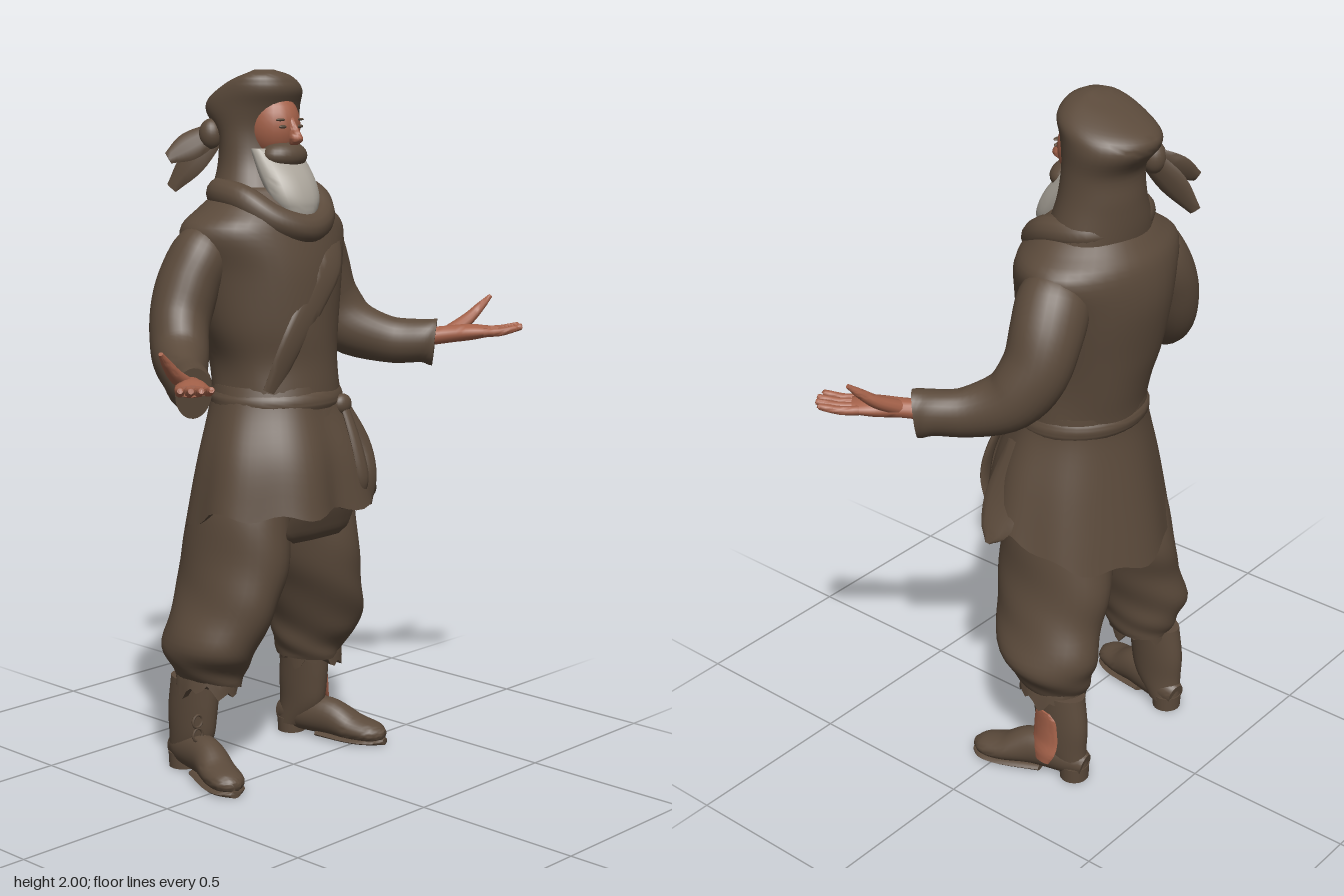
import * as THREE from 'three';
import { toCreasedNormals } from 'three/addons/utils/BufferGeometryUtils.js';

const V = (x, y, z) => new THREE.Vector3(x, y, z);
const { sin, cos, exp, PI } = Math;

// Skin a smooth surface over rows of [x, y, z, width radius, depth radius].
// Without ref the rings stay level (rows go upward); with ref they follow the path.
function loft(rows, { ref, fold, shift, seg = 28, sub = 5 } = {}) {
  const path = new THREE.CatmullRomCurve3(rows.map(r => V(r[0], r[1], r[2])), false, 'catmullrom');
  const size = new THREE.CatmullRomCurve3(rows.map(r => V(r[3], r[4], 0)), false, 'catmullrom');
  const n = (rows.length - 1) * sub, pos = [], idx = [];
  for (let i = 0; i <= n; i++) {
    const t = i / n, c = path.getPoint(t), r = size.getPoint(t);
    const dir = ref ? path.getTangent(t) : V(0, 1, 0);
    const u = ref ? ref.clone().addScaledVector(dir, -ref.dot(dir)).normalize() : V(1, 0, 0);
    const w = dir.clone().cross(u);
    for (let j = 0; j < seg; j++) {
      const a = j / seg * 2 * PI, k = fold ? fold(a, t) : 1;
      const p = c.clone().addScaledVector(u, cos(a) * r.x * k).addScaledVector(w, sin(a) * r.y * k);
      if (shift) shift(p, a, t);
      pos.push(p.x, p.y, p.z);
      const q = i * seg + j, s = i * seg + (j + 1) % seg;
      if (i < n) idx.push(q, s, q + seg, s, s + seg, q + seg);
    }
  }
  // Close both ends
  const end = (n + 1) * seg, c0 = path.getPoint(0), c1 = path.getPoint(1);
  pos.push(c0.x, c0.y, c0.z, c1.x, c1.y, c1.z);
  for (let j = 0; j < seg; j++) {
    const k = (j + 1) % seg;
    idx.push(end, k, j, end + 1, n * seg + j, n * seg + k);
  }
  const g = new THREE.BufferGeometry();
  g.setAttribute('position', new THREE.Float32BufferAttribute(pos, 3));
  g.setIndex(idx);
  return toCreasedNormals(g, 1);
}

const ball = (x, y, z, a, b, c) => new THREE.SphereGeometry(1, 24, 16).scale(a, b, c).translate(x, y, z);

export function createModel() {
  const model = new THREE.Group();
  const material = (name, color) => {
    const m = new THREE.MeshStandardMaterial({ color, side: THREE.DoubleSide });
    m.name = name;
    return m;
  };
  const cloth = material('brown cloth', 0x5b4a3b);
  const skin = material('skin', 0xa5624a);
  const grey = material('grey beard', 0xaca69c);
  const add = (name, geo, mat = cloth) => {
    const m = new THREE.Mesh(geo, mat);
    m.name = name;
    model.add(m);
  };

  // Tunic body and flared skirt with a longer back hem
  add('tunic', loft([
    [.005, 1.04, -.075, .195, .172], [.01, 1.12, -.08, .188, .174], [.01, 1.2, -.09, .188, .18],
    [0, 1.3, -.1, .208, .192], [0, 1.45, -.115, .235, .202], [0, 1.56, -.122, .268, .185],
    [0, 1.62, -.115, .205, .158], [0, 1.68, -.11, .12, .11]],
    { seg: 40, fold: (a, t) => 1 + .012 * sin(5 * a + 9 * t) }));
  add('skirt', loft([
    [.01, .78, -.065, .285, .25], [.005, .93, -.062, .25, .217],
    [.005, 1.06, -.073, .204, .18], [.01, 1.13, -.081, .188, .172]], {
    seg: 64,
    fold: (a, t) => 1 + (1 - t) * (.022 * cos(7 * a + 1.2) - .13 * exp(-(((a - 1.52 * PI) / .25) ** 2))),
    shift: (p, a, t) => {
      const back = Math.min(1, 1.5 * Math.max(0, sin(a)));
      p.y -= (1 - t) ** 2 * (.085 * back + .035 * back * sin(a) ** 6 + .01 * sin(9 * a));
    },
  }));
  add('waistTie', loft([
    [.008, 1.065, -.074, .195, .174], [.008, 1.08, -.076, .2, .181],
    [.008, 1.1, -.079, .197, .18], [.01, 1.115, -.08, .188, .172]], { seg: 40, sub: 3 }));
  add('frontFlap', loft([
    [.02, .69, .075, .1, .01], [0, .73, .098, .125, .012], [.01, .85, .125, .12, .014],
    [.02, 1.06, .086, .08, .012]], { fold: (a, t) => 1 + .05 * sin(6 * a + 4 * t) }));
  add('tieKnot', ball(.11, 1.065, .085, .032, .03, .022));
  for (const [x, z, y] of [[.12, .14, .8], [.165, .13, .77]])
    add('tieTail', loft([[.11, 1.08, .085, .014, .008], [x, .96, z - .01, .02, .008],
      [x + .01, .86, z + .01, .022, .008], [x + .015, y, z, .008, .004]], { ref: V(1, 0, 0), seg: 10 }));
  add('hemCorner', loft([[.2, 1.02, -.01, .04, .01], [.258, .87, -.005, .07, .012],
    [.3, .785, 0, .05, .012], [.325, .75, .005, .008, .005]], { ref: V(0, 0, 1), seg: 14 }));
  add('lapel', loft([
    [.16, 1.6, -.012, .03, .009], [.08, 1.48, .068, .045, .01], [0, 1.38, .084, .045, .01],
    [-.08, 1.26, .074, .038, .01], [-.13, 1.12, .036, .025, .008]], { ref: V(.8, -.5, .1), seg: 16 }));

  // Hood sloping to the back, neck cowl and loose knot ends
  add('hood', loft([
    [.005, 1.58, -.115, .175, .14], [.01, 1.66, -.135, .155, .125], [.018, 1.74, -.15, .132, .108],
    [.018, 1.82, -.155, .126, .102], [.014, 1.895, -.17, .132, .132], [.008, 1.945, -.155, .122, .138],
    [-.01, 1.982, -.125, .085, .095], [-.022, 2, -.1, .03, .035]], {
    seg: 40, fold: (a, t) => 1 + .015 * sin(3 * a + 12 * t),
    shift: (p, a, t) => { p.y += .26 * Math.max(0, t - .4) / .6 * Math.min(0, p.z + .1); },
  }));
  const ring = [[0, 1.567, .047], [.09, 1.592, .015], [.135, 1.645, -.06], [.115, 1.66, -.17], [0, 1.66, -.215],
    [-.115, 1.66, -.17], [-.135, 1.645, -.06], [-.09, 1.592, .015]].map(p => V(...p));
  add('cowl', new THREE.TubeGeometry(new THREE.CatmullRomCurve3(ring, true), 64, .043, 14, true));
  add('hoodKnot', ball(-.1, 1.82, -.225, .035, .045, .035));
  for (const [x, y, z] of [[-.195, 1.755, -.3], [-.17, 1.67, -.315]])
    add('knotEnd', loft([[-.085, 1.83, -.21, .03, .014], [(x - .1) / 2, (y + 1.82) / 2, -.265, .042, .012],
      [x, y, z, .018, .005]], { ref: V(0, 1, -.6), seg: 10 }));

  // Face and beard
  add('face', ball(.005, 1.845, -.09, .076, .1, .085), skin);
  add('nose', loft([[.005, 1.795, -.005, .012, .012], [.005, 1.81, .006, .019, .02],
    [.005, 1.84, -.004, .012, .014], [.005, 1.87, -.018, .009, .01]], { seg: 12 }), skin);
  for (const s of [-1, 1]) {
    add('eye', ball(.005 + s * .032, 1.845, -.014, .015, .005, .006));
    add('brow', ball(.005 + s * .036, 1.864, -.019, .018, .004, .008));
  }
  add('moustache', ball(.003, 1.764, -.04, .076, .042, .054));
  add('beard', loft([
    [0, 1.585, .025, .03, .025], [0, 1.605, .018, .056, .042], [0, 1.65, .005, .081, .055],
    [0, 1.71, -.028, .089, .06], [0, 1.785, -.075, .086, .04]], {
    fold: a => 1 + .01 * sin(9 * a),
  }), grey);

  for (const s of [-1, 1]) {
    const side = s > 0 ? 'left' : 'right', ref = V(-.78 * s, 0, .62);
    // The right forearm hangs a little lower and further forward
    const place = (rows, f) => rows.map(([x, y, z, a, b], i) => {
      const k = s > 0 ? 0 : f(i);
      return [x * s, y - .03 * k, z + .035 * k, a, b];
    });
    const whole = () => 1;

    // Sleeve with a wide open cuff
    add(side + 'Sleeve', loft(place([
      [.17, 1.555, -.13, .045, .06], [.21, 1.51, -.145, .085, .095], [.26, 1.43, -.16, .088, .1],
      [.305, 1.33, -.155, .085, .092], [.35, 1.25, -.11, .077, .088], [.42, 1.21, -.02, .061, .068],
      [.48, 1.207, .06, .056, .066], [.505, 1.203, .092, .05, .068]], i => i / 7),
      { ref, fold: (a, t) => 1 + .035 * sin(24 * t + 2 * a) * t }));

    // Open hand, palm up
    add(side + 'Palm', loft(place([
      [.47, 1.213, .04, .03, .028], [.53, 1.225, .11, .032, .026], [.58, 1.233, .165, .044, .024],
      [.62, 1.236, .21, .042, .015]], whole), { ref, seg: 16 }), skin);
    [.85, .98, 1, .92].forEach((len, i) => {
      const o = (i - 1.5) * .022, kx = .605 + .76 * o, kz = .195 - .65 * o;
      const tx = .612 + .06 * len + .9 * o, tz = .202 + .078 * len - .77 * o;
      add(side + 'Finger', loft(place([
        [kx, 1.236, kz, .0125, .013], [(kx + tx) / 2, 1.238, (kz + tz) / 2, .0122, .012],
        [tx, 1.25, tz, .0095, .009], [tx + .004, 1.251, tz + .005, .003, .003]], whole),
        { ref, seg: 10, sub: 3 }), skin);
    });
    add(side + 'Thumb', loft(place([
      [.54, 1.228, .115, .027, .022], [.605, 1.265, .133, .022, .018], [.65, 1.303, .148, .014, .013],
      [.68, 1.332, .16, .006, .006]], whole), { ref: V(0, 0, 1), seg: 12 }), skin);

    // Baggy trouser leg gathered above a ragged cuff
    add(side + 'TrouserLeg', loft([
      [.2, .27, -.137, .08, .1], [.208, .32, -.135, .102, .12], [.217, .39, -.122, .122, .155],
      [.18, .5, -.1, .12, .17], [.147, .62, -.094, .125, .182], [.13, .78, -.085, .125, .16],
      [.1, .95, -.08, .1, .13]].map(([x, ...r]) => [x * s, ...r]), {
      seg: 36, fold: (a, t) => 1 + .03 * sin(3 * a + 26 * t) * (1 - t),
    }));
    add(side + 'RaggedCuff', loft([
      [.212 * s, .26, -.135, .088, .1], [.208 * s, .3, -.135, .085, .102], [.205 * s, .33, -.13, .08, .09]],
      { seg: 36, shift: (p, a, t) => { p.y -= (1 - t) * .028 * sin(7 * a) * sin(3 * a + s); } }));

    // Boot: shaft, turned-out foot, sole and heel
    add(side + 'BootShaft', loft([
      [.225, .03, -.22, .042, .05], [.23, .1, -.19, .048, .078], [.23, .18, -.183, .052, .088],
      [.228, .28, -.172, .054, .086]].map(([x, ...r]) => [x * s, ...r])));
    const flat = p => { p.y = Math.max(p.y, .012); };
    add(side + 'BootFoot', loft([
      [.222, .05, -.265, .03, .035], [.23, .062, -.21, .046, .052], [.255, .065, -.1, .048, .058],
      [.283, .042, -.02, .055, .04], [.303, .034, .045, .047, .029], [.312, .03, .075, .018, .014]]
      .map(([x, ...r]) => [x * s, ...r]), { ref: V(1, 0, 0), shift: flat }));
    add(side + 'Sole', loft([
      [.25, .012, -.13, .04, .012], [.282, .01, -.02, .057, .01], [.304, .01, .045, .048, .01],
      [.313, .01, .078, .016, .01]].map(([x, ...r]) => [x * s, ...r]), { ref: V(1, 0, 0), seg: 16 }));
    add(side + 'Heel', new THREE.CylinderGeometry(.044, .042, .045, 20).translate(.226 * s, .0225, -.228));
  }

  // Bare patch curved round the outer left boot, lace loops on the right
  add('bootPatch', loft([
    [.297, .06, -.158, .03, .005], [.296, .09, -.158, .046, .005], [.287, .125, -.16, .05, .005],
    [.284, .17, -.16, .048, .005], [.284, .21, -.163, .04, .005], [.284, .228, -.165, .02, .004]],
    { ref: V(0, 0, 1), shift: p => { p.x -= 4 * (p.z + .18) ** 2; } }), skin);
  for (const y of [.13, .17])
    add('laceLoop', new THREE.TorusGeometry(.018, .004, 6, 16).translate(-.275, y, -.115));

  return model;
}
